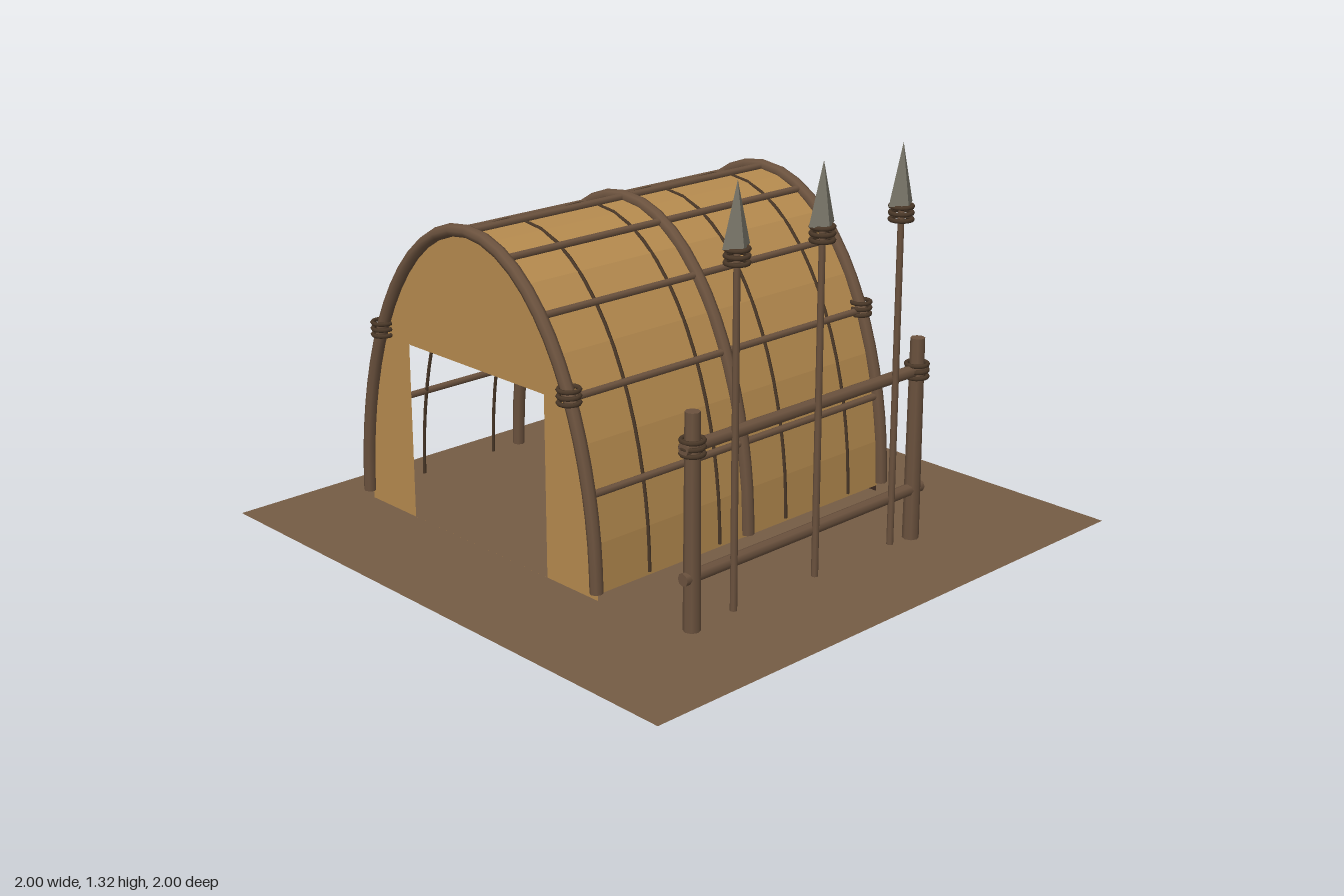
import * as THREE from 'three';

const CX = -0.21, CY = 0.04, RX = 0.56, RY = 1.0, HALF = 0.63;

const mat = (name, color, extra = {}) => {
  const m = new THREE.MeshStandardMaterial({ color, ...extra });
  m.name = name;
  return m;
};

// point on the hut's arch, angle 0 = right foot, PI = left foot
const archPoint = (a, z, grow = 0) =>
  new THREE.Vector3(CX + (RX + grow) * Math.cos(a), CY + (RY + grow) * Math.sin(a), z);

const archCurve = (z, grow) => new THREE.CatmullRomCurve3(
  Array.from({ length: 25 }, (_, i) => archPoint(0.01 + (Math.PI - 0.02) * i / 24, z, grow)));

// flat end wall outline
function wallShape() {
  const s = new THREE.Shape();
  s.moveTo(CX - RX, 0.02);
  s.lineTo(CX + RX, 0.02);
  for (let i = 0; i <= 24; i++) {
    const p = archPoint(Math.PI * i / 24, 0);
    s.lineTo(p.x, p.y);
  }
  s.closePath();
  return s;
}

export function createModel() {
  const root = new THREE.Group();
  const hide = mat('hide', 0xb58a4e);
  const flatHide = mat('foldedHide', 0xb58a4e, { flatShading: true });
  const wood = mat('wood', 0x6b523e);
  const cord = mat('cord', 0x4a3828);
  const dark = mat('darkInterior', 0x3c2a20);
  const earth = mat('earth', 0x755c45, { side: THREE.DoubleSide });
  const stone = mat('stone', 0x7b786b, { flatShading: true });

  const add = (parent, name, geo, material, x = 0, y = 0, z = 0) => {
    const m = new THREE.Mesh(geo, material);
    m.name = name;
    m.position.set(x, y, z);
    parent.add(m);
    return m;
  };
  const group = (name) => {
    const g = new THREE.Group();
    g.name = name;
    root.add(g);
    return g;
  };

  // three stacked cord rings around an upright pole
  const binding = (parent, x, y, z, r) => {
    for (const k of [-1, 0, 1]) {
      add(parent, 'binding', new THREE.TorusGeometry(r, 0.007, 6, 14), cord, x, y + k * 0.02, z)
        .rotation.x = Math.PI / 2;
    }
  };

  // ground
  add(root, 'ground', new THREE.PlaneGeometry(2, 2), earth).rotation.x = -Math.PI / 2;

  // hide cover: faceted half tunnel
  const hut = group('hut');
  const cover = new THREE.PlaneGeometry(1, 1, 20, 1);
  const pos = cover.attributes.position;
  for (let i = 0; i < pos.count; i++) {
    const a = Math.PI * (0.5 - pos.getX(i));
    const p = archPoint(a, -pos.getY(i) * 2 * HALF);
    pos.setXYZ(i, p.x, p.y, p.z);
  }
  cover.computeVertexNormals();
  add(hut, 'cover', cover, flatHide);

  // end walls, the front one with a doorway
  const front = wallShape();
  const door = new THREE.Path();
  door.moveTo(-0.54, 0.0201);
  door.lineTo(-0.54, 0.61);
  door.lineTo(0.12, 0.61);
  door.lineTo(0.12, 0.0201);
  door.closePath();
  front.holes.push(door);
  add(hut, 'frontWall', new THREE.ShapeGeometry(front), hide, 0, 0, HALF);
  const back = add(hut, 'backWall', new THREE.ShapeGeometry(wallShape()), hide, 2 * CX, 0, -HALF);
  back.rotation.y = Math.PI;
  add(hut, 'backWallLining', new THREE.ShapeGeometry(wallShape()), dark, 0, 0, -HALF + 0.005);

  // arched ribs
  for (const z of [-0.64, 0, 0.64]) {
    add(hut, 'rib', new THREE.TubeGeometry(archCurve(z, 0.006), 32, 0.021, 8), wood);
    for (const a of [0, Math.PI]) {
      const p = archPoint(a, z, 0.006);
      const cap = add(hut, 'ribFoot', new THREE.CircleGeometry(0.021, 8), wood, p.x, p.y + 0.01, p.z);
      cap.rotation.x = Math.PI / 2;
    }
  }

  // lengthwise poles
  for (let k = 1; k <= 9; k++) {
    const p = archPoint(Math.PI * k / 10, 0, 0.006);
    add(hut, 'purlin', new THREE.CylinderGeometry(0.012, 0.012, 1.25, 8), wood, p.x, p.y, 0)
      .rotation.x = Math.PI / 2;
  }

  // thin seams over the cover
  for (const z of [-0.48, -0.18, 0.12, 0.42]) {
    add(hut, 'seam', new THREE.TubeGeometry(archCurve(z, 0.0), 32, 0.006, 5), cord);
  }

  // cord bindings on the end ribs
  for (const z of [-0.64, 0.64]) {
    for (const s of [-1, 1]) binding(hut, CX + s * 0.455, 0.64, z, 0.033);
  }

  // rack
  const rack = group('spearRack');
  for (const z of [0.55, -0.425]) {
    add(rack, 'post', new THREE.CylinderGeometry(0.023, 0.027, 0.67, 8), wood, 0.667, 0.345, z);
    binding(rack, 0.667, 0.575, z, 0.034);
  }
  for (const y of [0.575, 0.178]) {
    add(rack, 'rail', new THREE.CylinderGeometry(0.02, 0.02, 1.05, 8), wood, 0.667, y, 0.0625)
      .rotation.x = Math.PI / 2;
  }

  // spears with three-sided stone heads
  for (const z of [0.4, 0.05, -0.3]) {
    const spear = group('spear');
    spear.position.set(0.687, 0, z);
    add(spear, 'shaft', new THREE.CylinderGeometry(0.01, 0.011, 1.14, 8), wood, 0, 0.6, 0);
    binding(spear, 0, 1.105, 0, 0.034);
    const head = new THREE.BufferGeometry();
    head.setAttribute('position', new THREE.Float32BufferAttribute([
      0, 1.32, 0, -0.004, 1.13, 0.055, 0.028, 1.125, 0,
      0, 1.32, 0, 0.028, 1.125, 0, -0.004, 1.13, -0.055,
      0, 1.32, 0, -0.004, 1.13, -0.055, -0.004, 1.13, 0.055,
      -0.004, 1.13, 0.055, -0.004, 1.13, -0.055, 0.028, 1.125, 0,
    ], 3));
    head.computeVertexNormals();
    add(spear, 'spearhead', head, stone);
  }

  return root;
}
